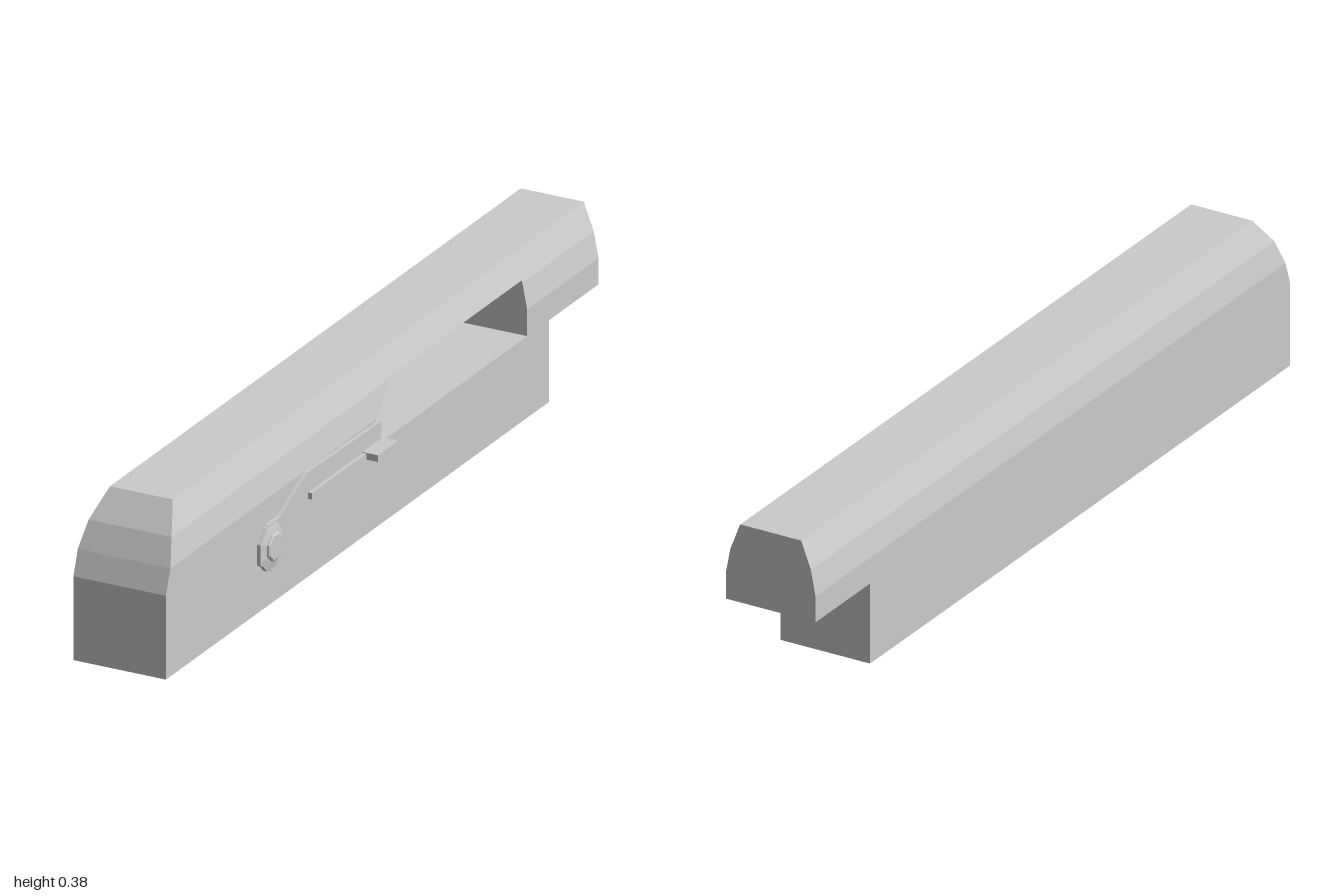
import * as THREE from 'three';

const material = new THREE.MeshStandardMaterial({ color: 0xcccccc, flatShading: true, side: THREE.DoubleSide });
const RIGHT = 0.088, LEFT = -0.143, FLOOR = 0.195, TOP = 0.385;

// Half width lost to the chamfers at height y
function inset(y) {
  if (y <= 0.258) return 0;
  if (y <= 0.32) return (y - 0.258) / 0.062 * 0.012;
  return 0.012 + (y - 0.32) / 0.065 * 0.025;
}

// One body cross-section: side port (open, ceiling), underside recess depth, base height, clip height
function section({ z, open = false, ceiling = 0.255, recess = 0, base = 0, clip = TOP }) {
  const inner = -0.1;
  const right = (y) => {
    const h = Math.min(y, clip);
    return [RIGHT - inset(h), h];
  };
  const left = (y) => {
    const h = Math.min(y, clip);
    return [LEFT + inset(h), h];
  };
  const outline = [
    [RIGHT, base], right(FLOOR),
    open ? [inner, FLOOR] : right(FLOOR),
    open ? [inner, ceiling] : right(ceiling),
    right(ceiling), right(Math.max(0.258, ceiling)), right(Math.max(0.32, ceiling)), right(TOP),
    left(TOP), left(0.32), left(0.258), [LEFT, base],
    [-0.093, base], [-0.093, base + recess], [0.036, base + recess], [0.036, base],
  ];
  return outline.map(([x, y]) => new THREE.Vector3(x, y, z));
}

// Joins sections from front to back, with two end caps
function loft(sections) {
  const positions = [];
  const triangle = (a, b, c) => {
    const area = new THREE.Vector3().subVectors(b, a).cross(new THREE.Vector3().subVectors(c, a));
    if (area.length() > 1e-8) for (const p of [a, b, c]) positions.push(p.x, p.y, p.z);
  };
  const n = sections[0].length;
  for (let i = 0; i < sections.length - 1; i++) {
    const s = sections[i], t = sections[i + 1];
    for (let j = 0; j < n; j++) {
      const k = (j + 1) % n;
      triangle(s[j], t[j], t[k]);
      triangle(s[j], t[k], s[k]);
    }
  }
  const first = sections[0], last = sections[sections.length - 1];
  for (let j = 1; j < n - 1; j++) {
    triangle(first[0], first[j], first[j + 1]);
    triangle(last[0], last[j + 1], last[j]);
  }
  const geometry = new THREE.BufferGeometry();
  geometry.setAttribute('position', new THREE.Float32BufferAttribute(positions, 3));
  geometry.computeVertexNormals();
  return geometry;
}

// Flat plate drawn in (z, y), spanning x0 to x1
function plate(points, x0, x1) {
  const shape = new THREE.Shape(points.map(([z, y]) => new THREE.Vector2(z, y)));
  const geometry = new THREE.ExtrudeGeometry(shape, { depth: x1 - x0, bevelEnabled: false });
  return geometry.rotateY(-Math.PI / 2).translate(x1, 0, 0);
}

// Eight-sided turned part with its axis along x, profile of [radius, x]
function turned(profile, y, z) {
  const geometry = new THREE.LatheGeometry(profile.map(([r, x]) => new THREE.Vector2(r, x)), 8, Math.PI / 8);
  return geometry.rotateZ(-Math.PI / 2).translate(0, y, z);
}

function box(x0, x1, y0, y1, z0, z1) {
  return new THREE.BoxGeometry(x1 - x0, y1 - y0, z1 - z0)
    .translate((x0 + x1) / 2, (y0 + y1) / 2, (z0 + z1) / 2);
}

export function createModel() {
  const group = new THREE.Group();
  const add = (name, geometry) => {
    const mesh = new THREE.Mesh(geometry, material);
    mesh.name = name;
    group.add(mesh);
  };

  // Body: rounded nose, side port, underside recess and stepped tail
  const port = { open: true, ceiling: 0.325 };
  const recess = 0.053;
  add('body', loft([
    { z: 1, clip: 0.2 },
    { z: 0.98, clip: 0.258 },
    { z: 0.952, clip: 0.32 },
    { z: 0.9 },
    { z: 0.03 },
    { z: 0.03, open: true },
    { z: -0.045, open: true, ceiling: 0.313 },
    { z: -0.045, open: true, ceiling: 0.313, recess },
    { z: -0.06, ...port, recess },
    { z: -0.59, ...port, recess },
    { z: -0.59, ...port },
    { z: -0.67, ...port },
    { z: -0.67 },
    { z: -0.77 },
    { z: -0.77, base: FLOOR },
    { z: -1, base: FLOOR },
  ].map(section)));

  // Side lever with its pivot
  add('lever', plate([
    [0.588, 0.17], [0.55, 0.203], [0.5, 0.203], [0.37, 0.262], [0.03, 0.256],
    [0.03, 0.198], [0.2, 0.18], [0.35, 0.157], [0.48, 0.103], [0.54, 0.09], [0.588, 0.12],
  ], 0.093, 0.102));
  add('leverHead', turned([
    [0, 0.086], [0.035, 0.087], [0.056, 0.093], [0.056, 0.102], [0.035, 0.106], [0, 0.106],
  ], 0.147, 0.537));
  add('pivotCap', turned([[0, 0.1], [0.034, 0.1], [0.034, 0.11], [0.03, 0.113], [0, 0.113]], 0.148, 0.535));

  // Rail and thumb tab on the lever
  add('leverRail', box(0.1, 0.112, 0.199, 0.214, 0.03, 0.37));
  add('thumbTab', box(0.1, 0.141, 0.2, 0.216, 0.025, 0.118));
  return group;
}
